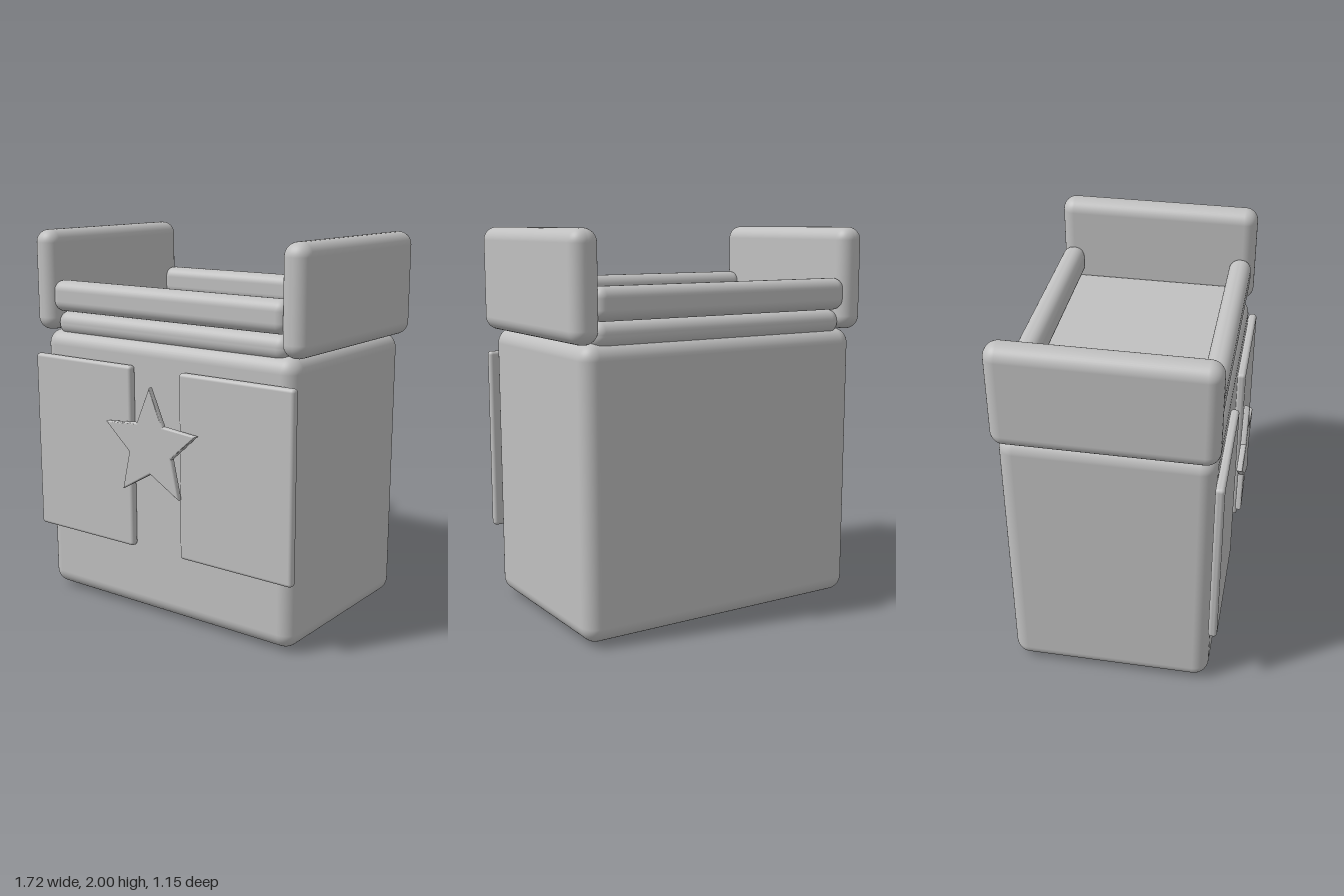
import * as THREE from 'three';
import { RoundedBoxGeometry } from 'three/addons/geometries/RoundedBoxGeometry.js';

export function createModel() {
  const model = new THREE.Group();
  model.name = 'changingCabinet';
  const grey = new THREE.MeshStandardMaterial({ color: 0xc0c0c0 });
  grey.name = 'grey';

  const add = (name, geometry) => {
    const mesh = new THREE.Mesh(geometry, grey);
    mesh.name = name;
    model.add(mesh);
    return mesh;
  };
  // Rounded box given by its extents on each axis
  const box = (name, [x0, x1], [y0, y1], [z0, z1], radius) =>
    add(name, new RoundedBoxGeometry(x1 - x0, y1 - y0, z1 - z0, 5, radius))
      .position.set((x0 + x1) / 2, (y0 + y1) / 2, (z0 + z1) / 2);

  // Cabinet and the pad on top of it
  box('cabinetBody', [-0.805, 0.805], [0.015, 1.47], [-0.56, 0.49], 0.08);
  box('topPad', [-0.74, 0.74], [1.44, 1.57], [-0.54, 0.465], 0.06);

  // Raised end boards
  box('leftEndBoard', [0.715, 0.86], [1.465, 2], [-0.575, 0.505], 0.068);
  box('rightEndBoard', [-0.86, -0.715], [1.465, 2], [-0.575, 0.505], 0.068);

  // Rails along the front and back
  box('frontRail', [-0.745, 0.745], [1.57, 1.735], [0.37, 0.49], 0.055);
  box('backRail', [-0.745, 0.745], [1.57, 1.735], [-0.57, -0.45], 0.055);

  // Door panels
  box('leftDoor', [0.155, 0.828], [0.375, 1.34], [0.487, 0.533], 0.018);
  box('rightDoor', [-0.83, -0.157], [0.375, 1.34], [0.487, 0.533], 0.018);

  // Star ornament: half outline, mirrored
  const half = [[0, 1.255], [0.085, 1.065], [0.292, 1.045], [0.138, 0.905], [0.183, 0.7], [0, 0.805]];
  const mirrored = half.slice(1, -1).reverse().map(([x, y]) => [-x, y]);
  const outline = [...half, ...mirrored].map(([x, y]) => new THREE.Vector2(x, y));
  const star = add('star', new THREE.ExtrudeGeometry(new THREE.Shape(outline), {
    depth: 0.01, bevelThickness: 0.011, bevelSize: 0.011, bevelOffset: -0.011, bevelSegments: 4,
  }));
  star.position.z = 0.554;

  // Low domed feet
  for (const x of [-0.675, 0.675]) {
    for (const z of [-0.42, 0.35]) {
      const foot = add('foot', new THREE.SphereGeometry(0.08, 24, 16));
      foot.scale.y = 0.6;
      foot.position.set(x, 0.048, z);
    }
  }
  return model;
}
